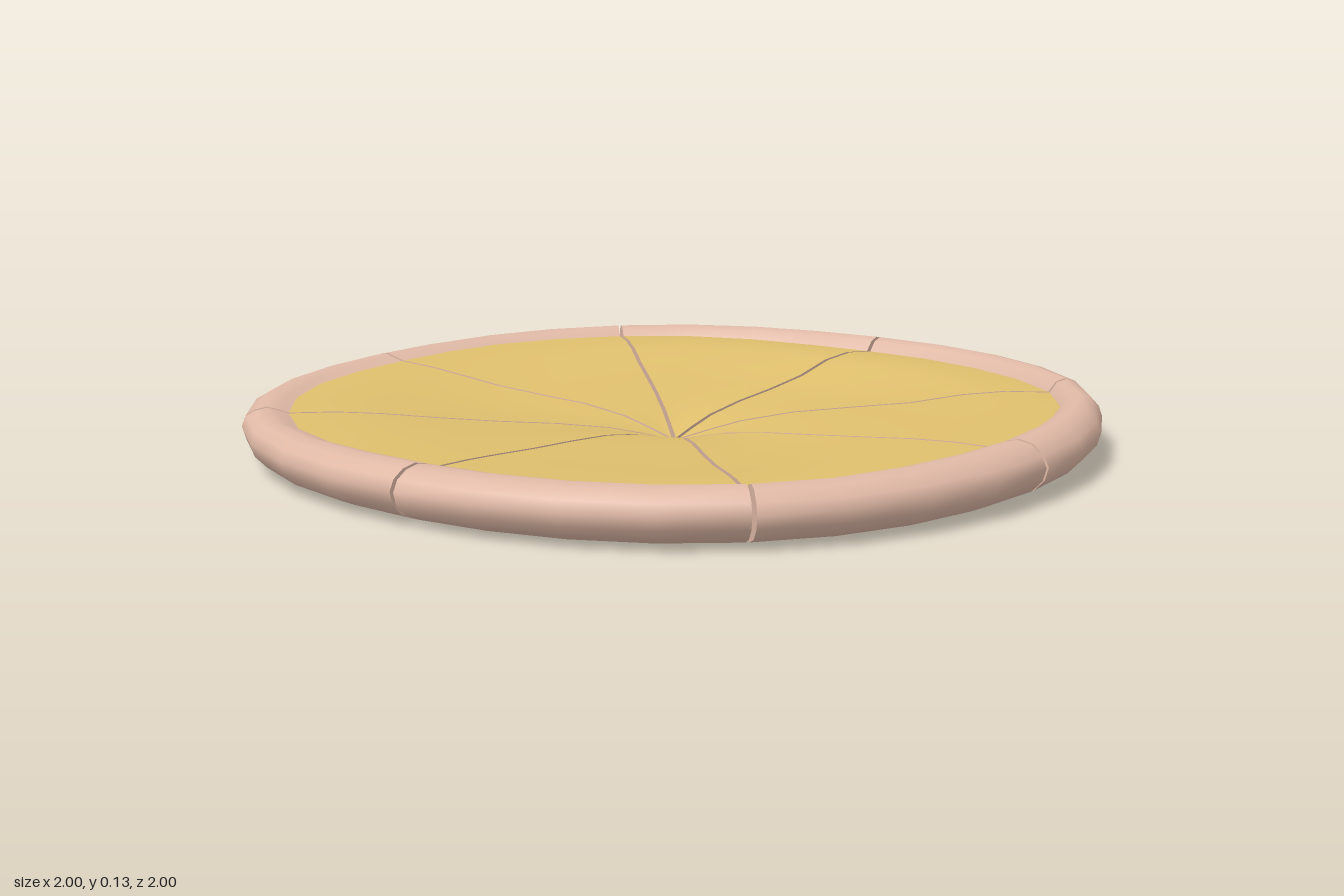
import * as THREE from 'three';

const SLICES = 8, STEPS = 4;     // eight wedges, 32-sided outline
const SHIFT = 0.013;             // pushes wedges apart to leave the cuts

const crustMat = new THREE.MeshStandardMaterial({ color: 0xe0b9a6 });
const cheeseMat = new THREE.MeshStandardMaterial({ color: 0xe0c06e });

// outline bulges a little on the diagonals
const diagonal = a => Math.sin(2 * a) ** 2;
const outer = a => 0.987 * (1 + 0.026 * diagonal(a));
// radius where the cheese meets the crust, slightly wavy
const edge = a => (0.861 - 0.018 * Math.cos(a) - 0.01 * Math.sin(a)) * (1 + 0.06 * diagonal(a))
  + 0.004 * Math.sin(9 * a);
const back = a => Math.max(0, -Math.cos(a));
const edgeHeight = a => 0.108 - 0.012 * back(a);

// cheese: thin tip rising quickly, then a gentle bowl up to the crust
function cheeseProfile(a) {
  const e = edge(a);
  const p = [[0, 0.014], [0.07, 0.031], [0.16, 0.05], [0.3, 0.066], [0.46, 0.075],
    [0.62, 0.085], [0.76, 0.097 + 0.008 * back(a)], [0.88, 0.105 + 0.003 * back(a)]]
    .map(([t, y]) => [t * e, y + 0.006 * Math.sin(3 * a + 4 * t) * Math.sin(Math.PI * t)]);
  return [...p, [e, edgeHeight(a)]];
}

// crust: rounded roll, then the flat underside back to the tip
function crustProfile(a) {
  const e = edge(a), R = outer(a), lift = 0.006 * Math.sin(a);
  const top = [[0.2, 0.12 + lift], [0.45, 0.128 + lift], [0.71, 0.122 + lift], [0.91, 0.105], [1, 0.08]]
    .map(([t, y]) => [e + (R - e) * t, y]);
  const under = [[0.991, 0.05], [0.965, 0.024], [0.927, 0.008], [0.88, 0.001], [0.79, 0], [0.4, 0], [0, 0]]
    .map(([t, y]) => [R * t, y]);
  return [[e, edgeHeight(a)], ...top, ...under];
}

// sweeps a profile around the axis between two angles
function sweep(profile, a0, a1) {
  const pos = [], idx = [];
  let n = 0;
  for (let j = 0; j <= STEPS; j++) {
    const a = a0 + (a1 - a0) * j / STEPS, p = profile(a);
    n = p.length;
    for (const [r, y] of p) pos.push(r * Math.sin(a), y, r * Math.cos(a));
  }
  for (let j = 0; j < STEPS; j++) {
    for (let i = 0; i < n - 1; i++) {
      const k = j * n + i;
      idx.push(k, k + 1, k + n, k + 1, k + n + 1, k + n);
    }
  }
  const g = new THREE.BufferGeometry();
  g.setAttribute('position', new THREE.Float32BufferAttribute(pos, 3));
  g.setIndex(idx);
  g.computeVertexNormals();
  return g;
}

// flat cut face of a wedge
function cutFace(a, flip) {
  const pts = [...cheeseProfile(a), ...crustProfile(a).slice(1)].map(([r, y]) => new THREE.Vector2(r, y));
  const g = new THREE.ShapeGeometry(new THREE.Shape(pts));
  if (flip) g.setIndex(Array.from(g.index.array).reverse());
  g.rotateY(a - Math.PI / 2);
  g.computeVertexNormals();
  return g;
}

export function createModel() {
  const model = new THREE.Group();
  model.name = 'slicedPie';
  for (let s = 0; s < SLICES; s++) {
    const a0 = s * 2 * Math.PI / SLICES, a1 = (s + 1) * 2 * Math.PI / SLICES, mid = (a0 + a1) / 2;
    const slice = new THREE.Group();
    slice.name = 'slice' + (s + 1);
    const add = (name, geometry, material) => {
      const m = new THREE.Mesh(geometry, material);
      m.name = name;
      slice.add(m);
    };
    add('cheese', sweep(cheeseProfile, a0, a1), cheeseMat);
    add('crust', sweep(crustProfile, a0, a1), crustMat);
    add('cutFaceStart', cutFace(a0, false), crustMat);
    add('cutFaceEnd', cutFace(a1, true), crustMat);
    slice.position.set(SHIFT * Math.sin(mid), 0, SHIFT * Math.cos(mid));
    model.add(slice);
  }
  return model;
}
